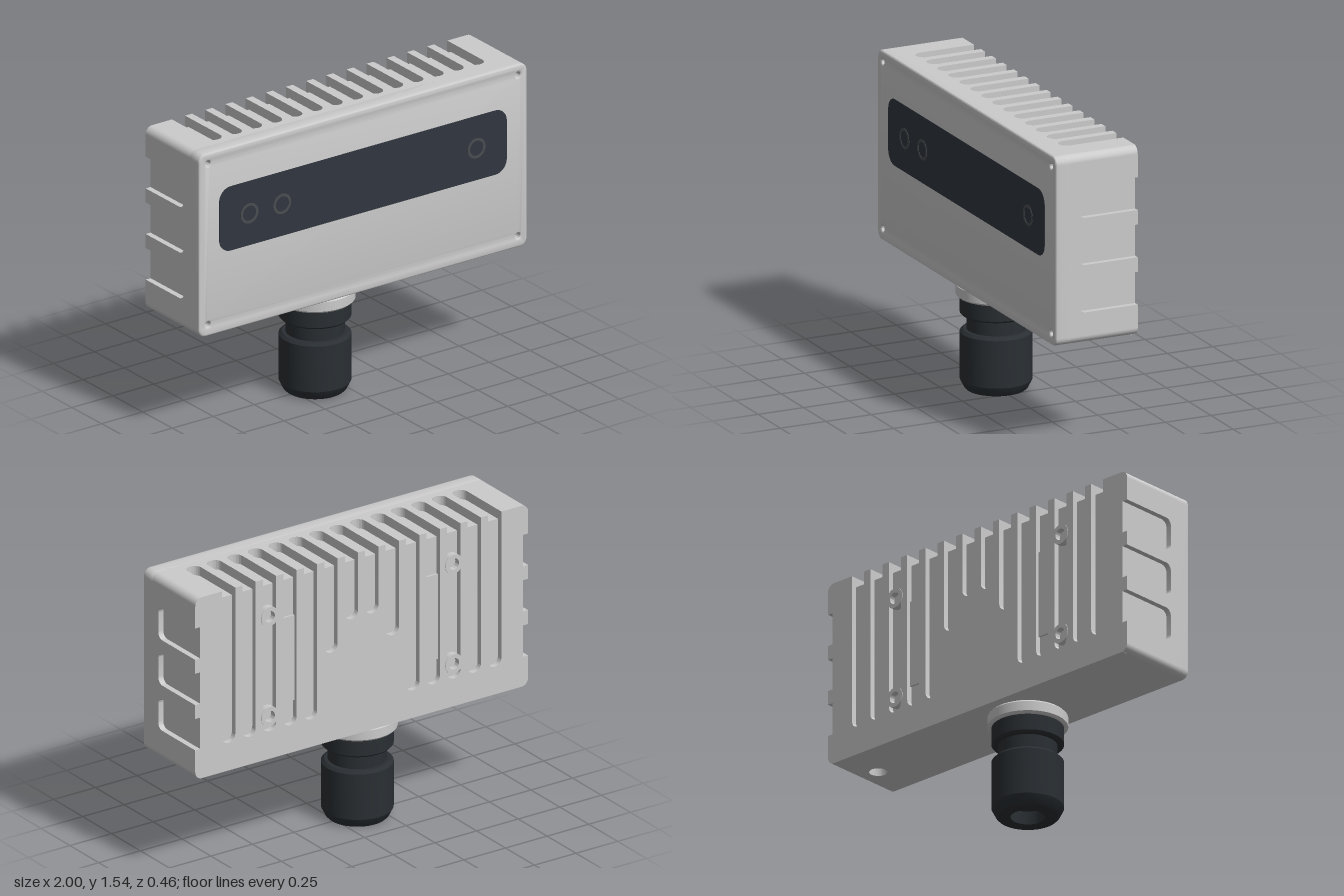
import * as THREE from 'three';
import { toCreasedNormals } from 'three/addons/utils/BufferGeometryUtils.js';

const grey = new THREE.MeshStandardMaterial({ color: 0xcccccc });
const glass = new THREE.MeshStandardMaterial({ color: 0x31363f });
const ringGrey = new THREE.MeshStandardMaterial({ color: 0x4a4d51 });
const black = new THREE.MeshStandardMaterial({ color: 0x2a2f33 });

// Rectangle u0..u1, v0..v1 with round-ended slots open at the v1 edge.
function comb(u0, u1, v0, v1, slots) {
  const s = new THREE.Shape();
  s.moveTo(u0, v0);
  s.lineTo(u1, v0);
  s.lineTo(u1, v1);
  for (const { c, w, end, r } of [...slots].reverse()) {
    const a = c - w / 2, b = c + w / 2;
    s.lineTo(b, v1);
    s.lineTo(b, end + r);
    s.absarc(b - r, end + r, r, 0, -Math.PI / 2, true);
    s.absarc(a + r, end + r, r, -Math.PI / 2, -Math.PI, true);
    s.lineTo(a, v1);
  }
  s.lineTo(u0, v1);
  s.closePath();
  return s;
}

function roundedRect(x0, x1, y0, y1, r) {
  const s = new THREE.Shape();
  s.absarc(x1 - r, y0 + r, r, -Math.PI / 2, 0);
  s.absarc(x1 - r, y1 - r, r, 0, Math.PI / 2);
  s.absarc(x0 + r, y1 - r, r, Math.PI / 2, Math.PI);
  s.absarc(x0 + r, y0 + r, r, Math.PI, Math.PI * 1.5);
  s.closePath();
  return s;
}

function ring(outer, inner) {
  const s = new THREE.Shape().absarc(0, 0, outer, 0, Math.PI * 2);
  s.holes.push(hole(0, 0, inner));
  return s;
}

function hole(x, y, r) {
  return new THREE.Path().absarc(x, y, r, 0, Math.PI * 2, true);
}

function extrude(shape, depth, bevel = 0) {
  const g = new THREE.ExtrudeGeometry(shape, {
    depth: depth - 2 * bevel, curveSegments: 16, bevelEnabled: bevel > 0,
    bevelSize: bevel, bevelThickness: bevel, bevelOffset: -bevel, bevelSegments: 3,
  });
  g.translate(0, 0, bevel);
  return toCreasedNormals(g, 0.6);
}

export function createModel() {
  const model = new THREE.Group();
  function add(name, geometry, material = grey, x = 0, y = 0, z = 0) {
    const m = new THREE.Mesh(geometry, material);
    m.name = name;
    m.position.set(x, y, z);
    model.add(m);
    return m;
  }

  // Housing core and rounded long edges
  add('housingCore', new THREE.BoxGeometry(1.94, 0.89, 0.345), grey, 0, 1.045, -0.0225);
  for (const x of [-0.96, 0.96]) for (const y of [0.6, 1.5]) {
    const g = new THREE.CylinderGeometry(0.04, 0.04, 0.405, 40).rotateX(Math.PI / 2);
    add('roundedEdge', g, grey, x, y, -0.0225);
  }

  // Front plate with screw holes
  const front = roundedRect(-1, 1, 0.56, 1.54, 0.04);
  for (const x of [-0.945, 0.945]) for (const y of [0.62, 1.485]) front.holes.push(hole(x, y, 0.015));
  add('frontPlate', extrude(front, 0.085, 0.008), grey, 0, 0, 0.14);

  // Cooling slots over the top and down the back
  const centres = Array.from({ length: 14 }, (_, i) => (i - 6.5) * 0.123);
  const slotEnd = (i) => [1.19, 1.04][Math.floor(Math.abs(i - 6.5))] ?? 0.71;
  const topSlots = centres.map((c) => ({ c, w: 0.08, end: -0.11, r: 0.0395 }));
  const backSlots = centres.map((c, i) => ({ c, w: 0.08, end: slotEnd(i), r: 0.0395 }));
  const top = extrude(comb(-0.96, 0.96, -0.2, 0.225, topSlots), 0.05).rotateX(-Math.PI / 2);
  add('topFins', top, grey, 0, 1.49, 0);
  add('backFins', extrude(comb(-0.97, 0.97, 0.56, 1.49, backSlots), 0.03), grey, 0, 0, -0.225);

  // Side plates with three pockets each, open to the back
  const pockets = [0.805, 1.05, 1.295].map((c) => ({ c, w: 0.17, end: -0.095, r: 0.035 }));
  const toSide = new THREE.Matrix4().set(0, 0, -1, 0, 1, 0, 0, 0, 0, -1, 0, 0, 0, 0, 0, 1);
  for (const x of [1, -0.97]) {
    const g = extrude(comb(0.6, 1.5, -0.2, 0.225, pockets), 0.03).applyMatrix4(toSide);
    add('sidePlate', g, grey, x, 0, 0);
  }

  // Bottom plate with a round port
  const bottom = comb(-0.96, 0.96, -0.2, 0.225, []);
  bottom.holes.push(hole(0.87, 0, 0.045));
  add('bottomPlate', extrude(bottom, 0.04).rotateX(-Math.PI / 2), grey, 0, 0.56, 0);

  // Threaded mounting bosses in the back slots, and raised pads beside them
  for (const x of [centres[2], centres[11]]) for (const y of [0.79, 1.33]) {
    add('mountingBoss', extrude(ring(0.052, 0.03), 0.035), grey, x, y, -0.228);
  }
  for (const x of [centres[3], centres[10]]) {
    add('slotPad', new THREE.BoxGeometry(0.08, 0.46, 0.012), grey, x, 1.06, -0.2);
  }

  // Dark window with three lens rings
  add('window', extrude(roundedRect(-0.878, 0.875, 0.985, 1.33, 0.07), 0.02), glass, 0, 0, 0.207);
  for (const x of [-0.695, -0.495, 0.69]) {
    add('lensRing', extrude(ring(0.054, 0.04), 0.006), ringGrey, x, 1.157, 0.223);
  }

  // Cable gland below the housing
  function turned(name, points, material) {
    const g = new THREE.LatheGeometry(points.map(([r, y]) => new THREE.Vector2(r, y)), 64);
    add(name, toCreasedNormals(g, 0.4), material, -0.13, 0, 0);
  }
  turned('glandNut', [[0, 0.48], [0.19, 0.48], [0.2, 0.49], [0.2, 0.54], [0.19, 0.55],
    [0.17, 0.55], [0.17, 0.565]], grey);
  turned('glandCap', [[0, 0.07], [0.085, 0.07], [0.085, 0], [0.15, 0], [0.16, 0.01], [0.18, 0.05],
    [0.18, 0.295], [0.165, 0.31], [0.147, 0.31], [0.147, 0.385], [0.17, 0.385], [0.18, 0.395],
    [0.18, 0.482], [0, 0.482]], black);

  return model;
}
